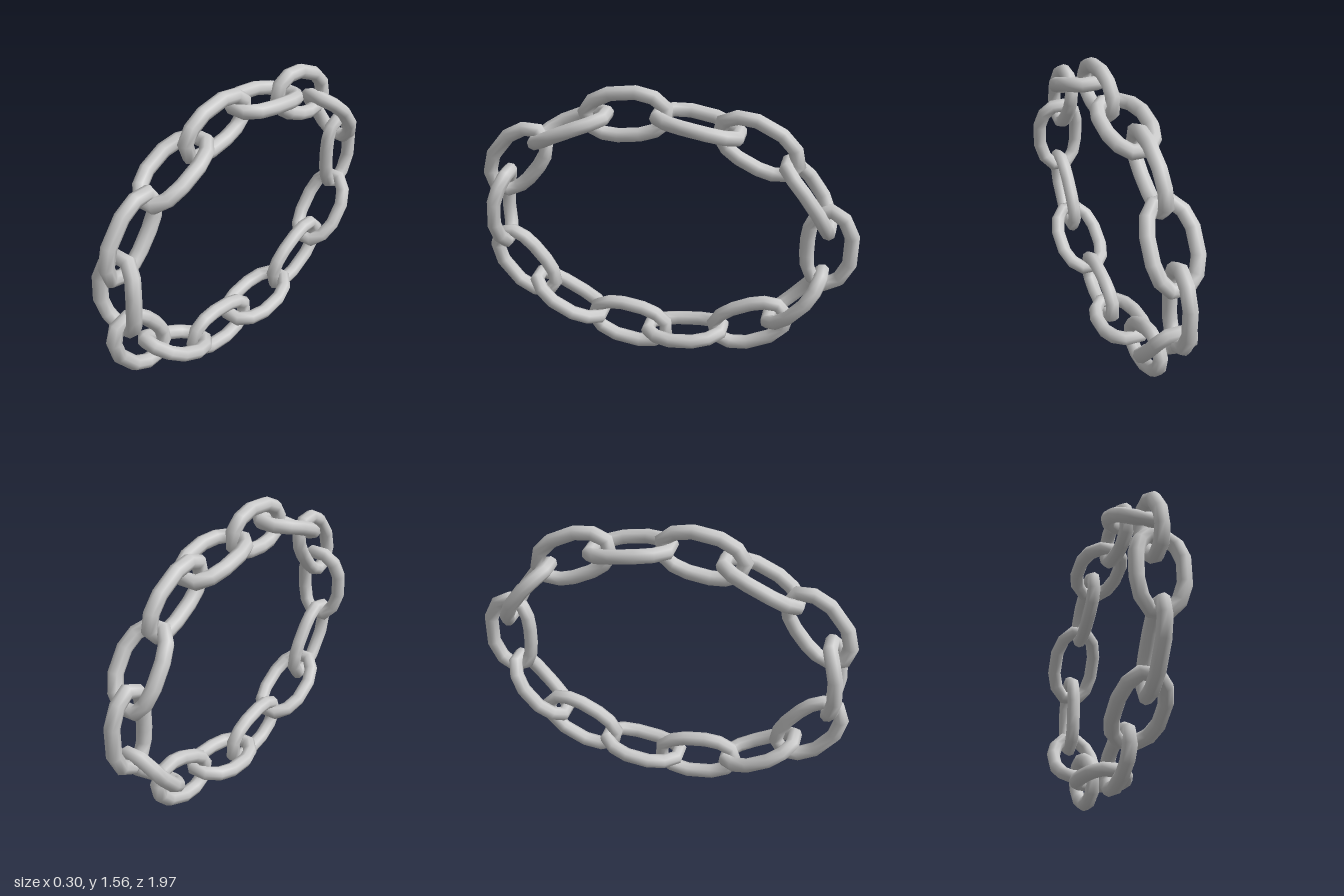
import * as THREE from 'three';

// Closed chain: identical links bent along an ellipse in the YZ plane,
// alternating between upright (in the plane) and crosswise.
const PAIRS = 7, TUBE = 0.038, SIDES = 8;
const path = new THREE.EllipseCurve(0.028, 0.784, 0.877, 0.635, 0, Math.PI * 2, false, Math.PI);
path.arcLengthDivisions = 1000;
const LENGTH = path.getLength();

// Centreline of one link: a quarter outline mirrored into a closed ring
const quarter = [[0.11, 0.062], [0.087, 0.145], [0.04, 0.202]];
const mirror = (sx, sy) => quarter.map(([x, y]) => [x * sx, y * sy]);
const ring = [...mirror(1, 1), ...mirror(-1, 1).reverse(), ...mirror(-1, -1), ...mirror(1, -1).reverse()];

// Place a link-space point (across, along, through) on the path
function bend(across, along, through, s, upright) {
  const u = THREE.MathUtils.euclideanModulo((s + along) / LENGTH, 1);
  const p = path.getPointAt(u), t = path.getTangentAt(u);
  const out = upright ? across : through;
  const x = upright ? -through : across;
  return [x, p.y - t.x * out, p.x + t.y * out];
}

function linkGeometry(s, upright) {
  const pos = [], index = [], n = ring.length;
  for (let i = 0; i < n; i++) {
    const prev = ring[(i + n - 1) % n], next = ring[(i + 1) % n];
    const normal = new THREE.Vector2(next[1] - prev[1], prev[0] - next[0]).normalize();
    for (let j = 0; j < SIDES; j++) {
      const a = (j / SIDES) * Math.PI * 2, r = TUBE * Math.cos(a);
      pos.push(...bend(ring[i][0] + normal.x * r, ring[i][1] + normal.y * r, TUBE * Math.sin(a), s, upright));
      const k = (j + 1) % SIDES, m = (i + 1) % n;
      const A = i * SIDES + j, B = m * SIDES + j, C = m * SIDES + k, D = i * SIDES + k;
      index.push(A, B, D, B, C, D);
    }
  }
  const g = new THREE.BufferGeometry();
  g.setAttribute('position', new THREE.Float32BufferAttribute(pos, 3));
  g.setIndex(index);
  g.computeVertexNormals();
  return g;
}

export function createModel() {
  const chain = new THREE.Group();
  chain.name = 'chain';
  const material = new THREE.MeshStandardMaterial({ color: 0xcccccc });
  const step = LENGTH / PAIRS;
  const addLink = (name, s, upright) => {
    const mesh = new THREE.Mesh(linkGeometry(s, upright), material);
    mesh.name = name;
    chain.add(mesh);
  };
  for (let k = 0; k < PAIRS; k++) {
    addLink(`uprightLink${k + 1}`, k * step, true);
    // crosswise links sit slightly past the midpoint between their neighbours
    addLink(`crossLink${k + 1}`, (k + 0.5) * step + 0.028, false);
  }
  return chain;
}
